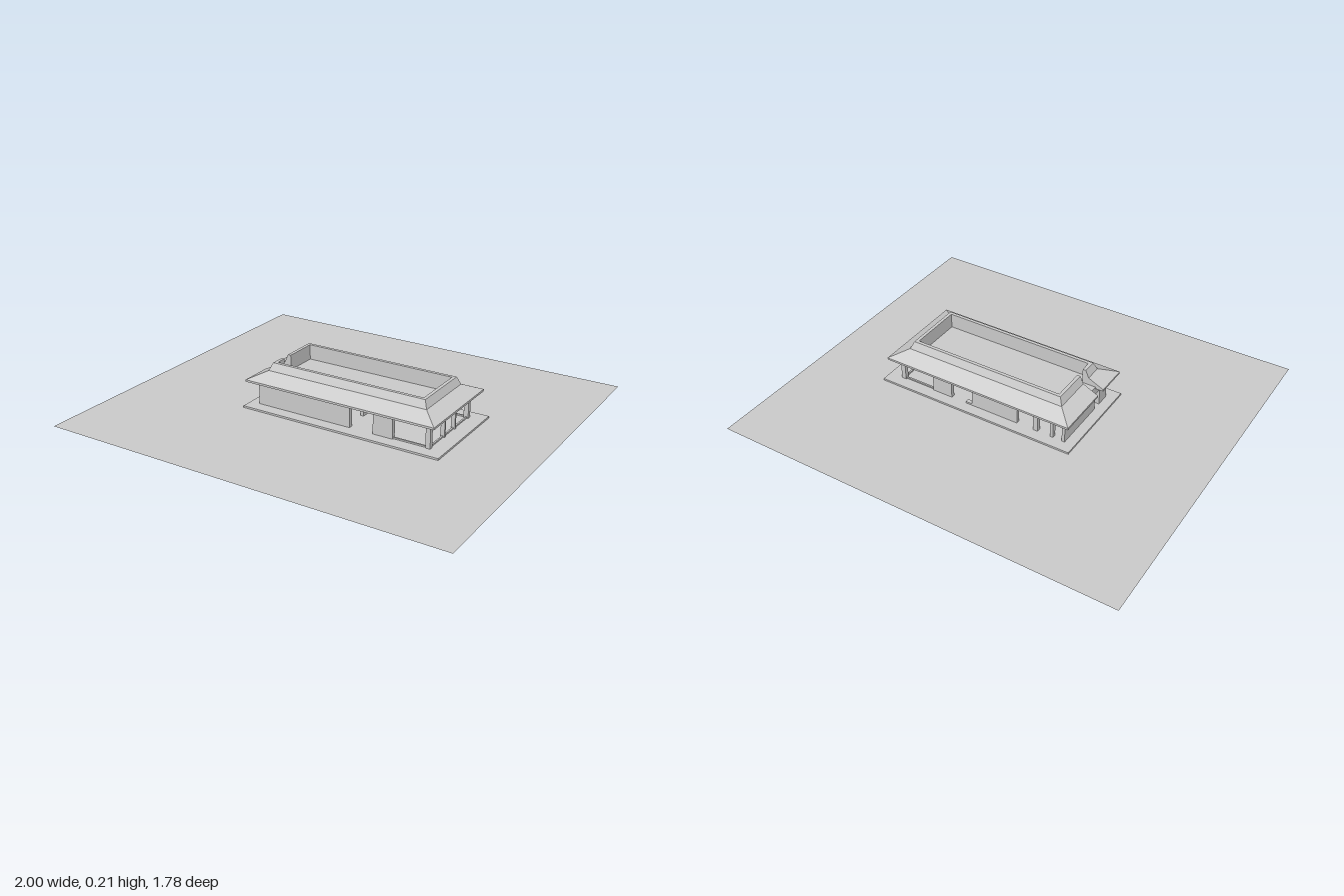
import * as THREE from 'three';

const material = new THREE.MeshStandardMaterial({ color: 0xcccccc, flatShading: true });
const thin = new THREE.MeshStandardMaterial({ color: 0xcccccc, flatShading: true, side: THREE.DoubleSide });

// Main levels and plan extents
const FLOOR = 0.01, LINTEL = 0.112, EAVE = 0.13, T = 0.02;
const WALL = { x0: -0.35, x1: 0.55, z0: -0.17, z1: 0.217 };
const ROOF = { x0: -0.39, x1: 0.59, z0: -0.217, z1: 0.266 };
const NOTCH = [0.055, 0.105];

function box(parent, name, x0, x1, y0, y1, z0, z1) {
  const mesh = new THREE.Mesh(new THREE.BoxGeometry(x1 - x0, y1 - y0, z1 - z0), material);
  mesh.position.set((x0 + x1) / 2, (y0 + y1) / 2, (z0 + z1) / 2);
  mesh.name = name;
  parent.add(mesh);
}

// Hipped eave and raised parapet: one profile [inset, height] swept round a
// rectangle, broken by a notch on the -x side
function createRoof() {
  const roof = new THREE.Group();
  roof.name = 'roof';
  const profile = [[0, EAVE], [0, 0.14], [0.077, 0.176], [0.093, 0.213], [0.109, 0.213], [0.109, EAVE]];
  const loop = ([d, y]) => {
    const x0 = ROOF.x0 + d, x1 = ROOF.x1 - d, z0 = ROOF.z0 + d, z1 = ROOF.z1 - d;
    return [[x0, y, NOTCH[0]], [x0, y, z0], [x1, y, z0], [x1, y, z1], [x0, y, z1], [x0, y, NOTCH[1]]];
  };
  const rings = profile.map(loop);
  const positions = [];
  rings.forEach((ring, i) => {
    const next = rings[(i + 1) % rings.length];
    for (let s = 0; s < ring.length - 1; s++) {
      const a = ring[s], b = ring[s + 1], c = next[s + 1], d = next[s];
      positions.push(...a, ...d, ...c, ...a, ...c, ...b);
    }
  });
  const geometry = new THREE.BufferGeometry();
  geometry.setAttribute('position', new THREE.Float32BufferAttribute(positions, 3));
  geometry.computeVertexNormals();
  const shell = new THREE.Mesh(geometry, material);
  shell.name = 'hippedRoof';
  roof.add(shell);

  // Closed ends either side of the notch
  const section = new THREE.Shape(profile.map(([d, y]) => new THREE.Vector2(ROOF.x0 + d, y)));
  for (const z of NOTCH) {
    const cap = new THREE.Mesh(new THREE.ShapeGeometry(section), thin);
    cap.position.z = z;
    cap.name = 'roofEnd';
    roof.add(cap);
  }
  box(roof, 'roofDeck', WALL.x0, WALL.x1, 0.129, 0.139, WALL.z0, WALL.z1);
  return roof;
}

function createWalls() {
  const walls = new THREE.Group();
  walls.name = 'walls';
  const { x0, x1, z0, z1 } = WALL;

  // Long walls: solid spans with lintels bridging the openings
  const longWall = (name, za, zb, spans) => {
    for (const [a, b] of spans) box(walls, name, a, b, FLOOR, LINTEL, za, zb);
    box(walls, name + 'Lintel', x0, x1, LINTEL, EAVE, za, zb);
    box(walls, name + 'Sill', 0.365, 0.53, FLOOR, 0.017, za + 0.006, zb - 0.006);
  };
  longWall('frontWall', z1 - T, z1, [[x0, 0.145], [0.265, 0.365], [0.527, x1]]);
  longWall('backWall', z0, z0 + T,
    [[x0, -0.335], [-0.29, -0.275], [-0.21, -0.185], [-0.1, 0.145], [0.26, 0.365], [0.527, x1]]);
  box(walls, 'lowSill', 0.145, 0.18, FLOOR, 0.018, z0, z0 + T);

  // Open +x end: slim posts, sill and lintel
  box(walls, 'endLintel', x1 - T, x1, LINTEL, EAVE, z0 + T, z1 - T);
  box(walls, 'endSill', x1 - 0.014, x1 - 0.006, FLOOR, 0.017, z0 + T, z1 - T);
  for (const z of [0.078, -0.022]) box(walls, 'endPost', x1 - T, x1, FLOOR, LINTEL, z - 0.005, z + 0.005);

  // -x end wall with a doorway
  box(walls, 'sideWall', x0, x0 + T, FLOOR, EAVE, z0 + T, 0.107);
  box(walls, 'sideWall', x0, x0 + T, FLOOR, EAVE, 0.15, z1 - T);
  box(walls, 'doorLintel', x0, x0 + T, 0.095, EAVE, 0.107, 0.15);

  // Inner partition beside the open room
  box(walls, 'partition', 0.12, 0.135, FLOOR, EAVE, z0 + T, 0.08);
  return walls;
}

export function createModel() {
  const model = new THREE.Group();
  model.name = 'pavilionHouse';

  const ground = new THREE.Mesh(new THREE.PlaneGeometry(2, 1.78).rotateX(-Math.PI / 2), thin);
  ground.name = 'ground';
  model.add(ground);

  box(model, 'floorSlab', -0.4, 0.62, 0.001, FLOOR, -0.224, 0.276);
  model.add(createWalls(), createRoof());
  return model;
}
